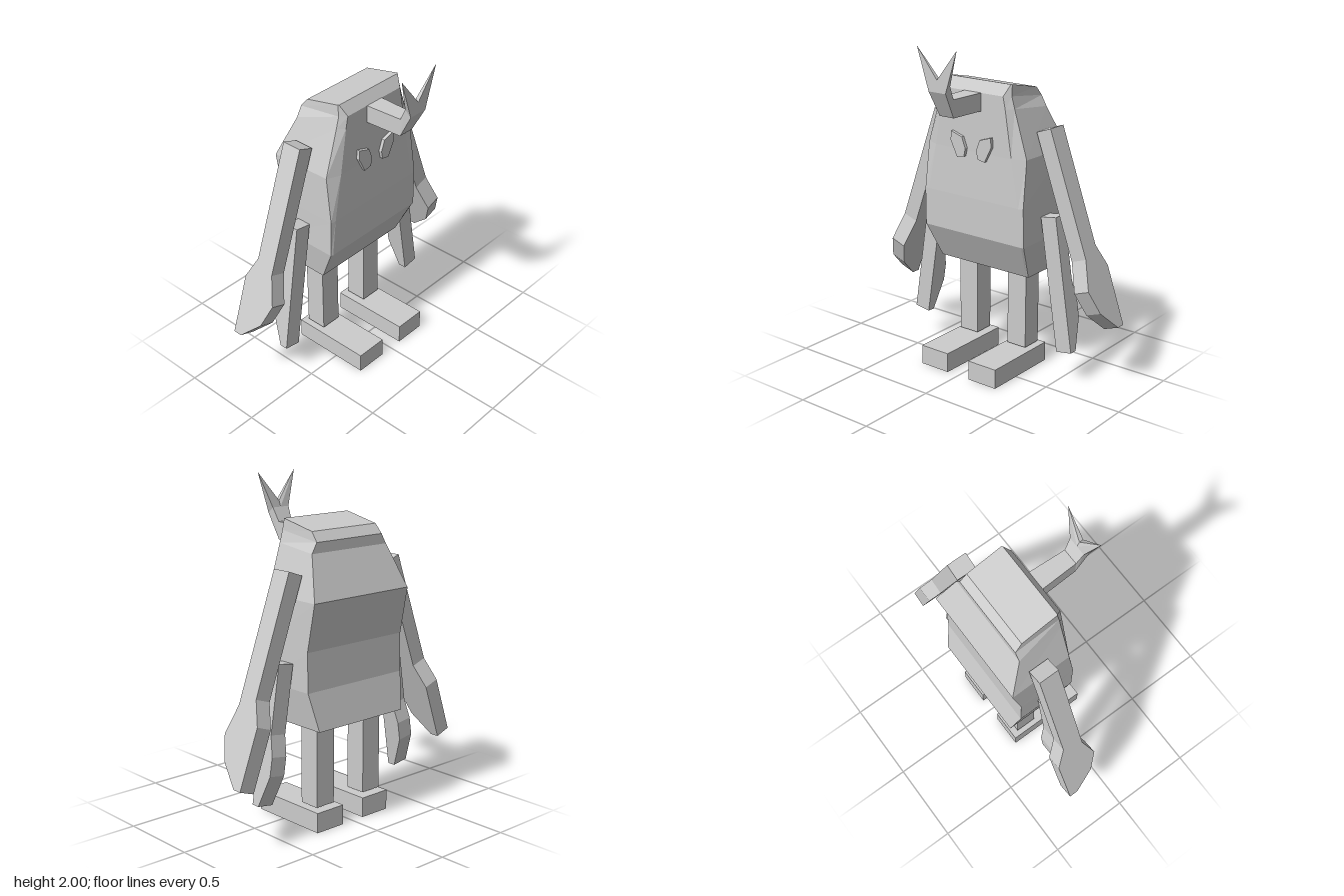
import * as THREE from 'three';
import { ConvexGeometry } from 'three/addons/geometries/ConvexGeometry.js';

const grey = new THREE.MeshStandardMaterial({ color: 0xcccccc, flatShading: true });
grey.name = 'plain grey';

function add(parent, name, geometry, x = 0, y = 0, z = 0) {
  const mesh = new THREE.Mesh(geometry, grey);
  mesh.name = name;
  mesh.position.set(x, y, z);
  parent.add(mesh);
  return mesh;
}

// Rows run top to bottom; each holds the +x half of a mirrored section, front to back.
function mirroredLoft(rows) {
  const points = [], index = [];
  const n = rows[0].length * 2;
  for (const half of rows) {
    const mirrored = half.map(([x, y, z]) => [-x, y, z]).reverse();
    for (const p of [...half, ...mirrored]) points.push(...p);
  }
  for (let i = 0; i < rows.length - 1; i++) {
    for (let j = 0; j < n; j++) {
      const a = i * n + j, b = i * n + (j + 1) % n;
      index.push(a, a + n, b, b, a + n, b + n);
    }
  }
  const last = (rows.length - 1) * n;
  for (let j = 1; j < n - 1; j++) {
    index.push(0, j, j + 1, last, last + j + 1, last + j);
  }
  const geometry = new THREE.BufferGeometry();
  geometry.setAttribute('position', new THREE.Float32BufferAttribute(points, 3));
  geometry.setIndex(index);
  const flat = geometry.toNonIndexed();
  flat.computeVertexNormals();
  return flat;
}

function hull(points) {
  return new ConvexGeometry(points.map((p) => new THREE.Vector3(...p)));
}

// Slab hanging from its top centre; profile points are [z, distance down the limb].
function limbGeometry(profile, thickness) {
  const shape = new THREE.Shape(profile.map(([z, s]) => new THREE.Vector2(z, -s)));
  const geometry = new THREE.ExtrudeGeometry(shape, { depth: thickness, bevelEnabled: false });
  geometry.translate(0, 0, -thickness / 2);
  geometry.rotateY(-Math.PI / 2);
  return geometry;
}

export function createModel() {
  const model = new THREE.Group();
  model.name = 'creature';

  // Body: front bevel, side front and back corner of each section
  add(model, 'body', mirroredLoft([
    [[0.24, 1.775, 0.02], [0.245, 1.775, 0.015], [0.245, 1.725, -0.215]],
    [[0.215, 1.71, 0.06], [0.25, 1.71, 0.025], [0.25, 1.67, -0.26]],
    [[0.23, 1.64, 0.06], [0.27, 1.64, 0.025], [0.285, 1.61, -0.26]],
    [[0.275, 1.36, 0.06], [0.357, 1.36, 0.025], [0.362, 1.36, -0.365]],
    [[0.33, 1.08, 0.065], [0.362, 1.08, 0.06], [0.365, 1.08, -0.31]],
    [[0.35, 0.85, 0.06], [0.365, 0.85, 0.055], [0.365, 0.85, -0.315]],
    [[0.31, 0.63, -0.05], [0.325, 0.63, -0.05], [0.325, 0.63, -0.365]],
  ]));

  // Horn: a stalk, an upturned neck and two prongs
  const horn = new THREE.Group();
  horn.name = 'horn';
  model.add(horn);
  const hornSections = [
    [[0.062, 1.605, 0.03], [0.062, 1.71, 0.03]],
    [[0.05, 1.605, 0.29], [0.05, 1.71, 0.29]],
    [[0.06, 1.755, 0.37], [0.06, 1.79, 0.33]],
  ];
  const bothSides = (list) => list.flatMap(([x, y, z]) => [[x, y, z], [-x, y, z]]);
  ['hornStalk', 'hornNeck'].forEach((name, i) => {
    add(horn, name, hull(bothSides([...hornSections[i], ...hornSections[i + 1]])));
  });

  // Arm outlines
  const upperArm = limbGeometry([
    [-0.105, 0], [-0.105, 0.765], [-0.05, 0.94], [-0.105, 1.085], [-0.235, 1.21],
    [-0.29, 1.21], [-0.295, 0.85], [-0.23, 0.71], [-0.23, 0],
  ], 0.1);
  const lowerArm = limbGeometry([
    [-0.105, 0], [-0.105, 0.82], [-0.155, 0.82], [-0.225, 0.63], [-0.225, 0.52],
    [-0.195, 0.4], [-0.195, 0],
  ], 0.104);

  // Eye outline
  const eyeOutline = [
    [0.04, 1.375], [0.065, 1.44], [0.143, 1.465], [0.148, 1.41], [0.1, 1.315], [0.05, 1.325],
  ];

  for (const [side, label] of [[1, 'left'], [-1, 'right']]) {
    add(horn, label + 'Prong', hull([
      [side * 0.06, 1.755, 0.37], [0, 1.755, 0.37], [0, 1.825, 0.37], [0, 1.825, 0.345],
      [0, 1.79, 0.33], [side * 0.06, 1.79, 0.33], [side * 0.14, 2, 0.37],
    ]));

    const eye = new THREE.Shape(eyeOutline.map(([x, y]) => new THREE.Vector2(side * x, y)));
    add(model, label + 'Eye',
      new THREE.ExtrudeGeometry(eye, { depth: 0.03, bevelEnabled: false }), 0, 0, 0.05);

    add(model, label + 'UpperArm', upperArm, side * 0.377, 1.51, 0)
      .rotation.z = side * Math.atan2(0.41, 1.14);
    add(model, label + 'LowerArm', lowerArm, side * 0.42, 1.006, 0)
      .rotation.z = side * Math.atan2(0.127, 0.812);

    add(model, label + 'Leg', new THREE.BoxGeometry(0.133, 0.48, 0.13), side * 0.184, 0.375, -0.195);
    add(model, label + 'Foot', new THREE.BoxGeometry(0.2, 0.12, 0.505), side * 0.18, 0.06, -0.047);
  }

  return model;
}
